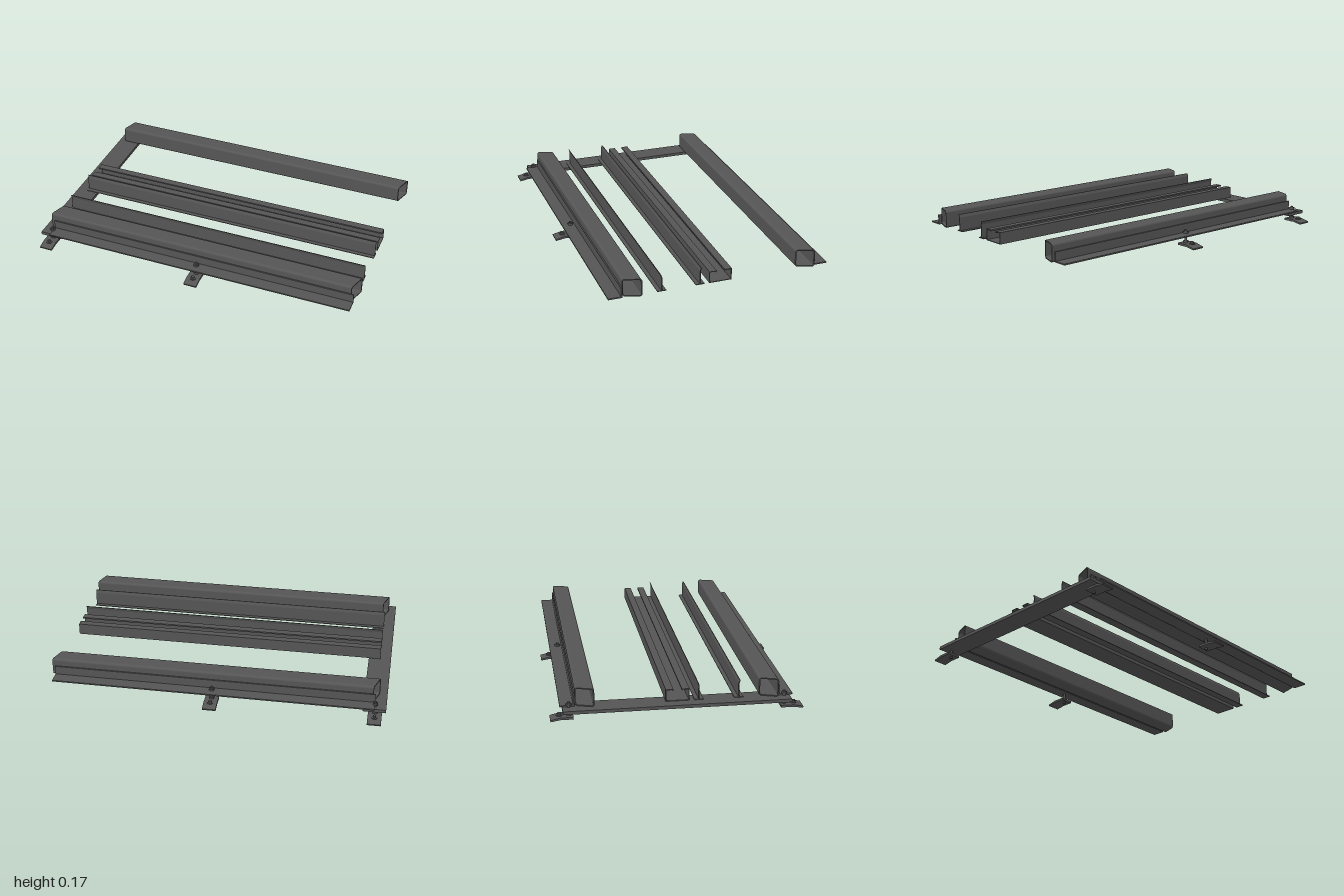
import * as THREE from 'three';

const steel = new THREE.MeshStandardMaterial({ color: 0x555555 });
const X0 = -0.935, X1 = 0.975;

// closed shape from [z, y] points (z is flipped so the extrusion runs along +x)
const outline = (pts) => new THREE.Shape(pts.map(([z, y]) => new THREE.Vector2(-z, y)));

function extrudeX(shape, x0, x1) {
  const geo = new THREE.ExtrudeGeometry(shape, { depth: x1 - x0, bevelEnabled: false, curveSegments: 5 });
  geo.rotateY(Math.PI / 2);
  geo.translate(x0, 0, 0);
  return geo;
}

function add(parent, name, geo, x = 0, y = 0, z = 0) {
  const mesh = new THREE.Mesh(geo, steel);
  mesh.name = name;
  mesh.position.set(x, y, z);
  parent.add(mesh);
  return mesh;
}

function roundedRect(target, w, h, r) {
  const a = w / 2, b = h / 2;
  target.moveTo(-a + r, -b);
  target.lineTo(a - r, -b);
  target.absarc(a - r, -b + r, r, -Math.PI / 2, 0);
  target.absarc(a - r, b - r, r, 0, Math.PI / 2);
  target.absarc(-a + r, b - r, r, Math.PI / 2, Math.PI);
  target.absarc(-a + r, -b + r, r, Math.PI, Math.PI * 1.5);
  return target;
}

// square hollow tube with both ends cut at a slant
function tubeGeometry() {
  const shape = roundedRect(new THREE.Shape(), 0.106, 0.106, 0.014);
  shape.holes.push(roundedRect(new THREE.Path(), 0.094, 0.094, 0.008));
  const geo = extrudeX(shape, -0.938, 0.975);
  const p = geo.attributes.position;
  for (let i = 0; i < p.count; i++) p.setX(i, p.getX(i) - p.getZ(i) * 0.33);
  geo.computeVertexNormals();
  return geo;
}

// adjustable foot: bent plate, levelling bolt with nuts, and a fixing screw
function makeFoot(x, side) {
  const foot = new THREE.Group();
  foot.name = 'levellingFoot';
  const s = side;
  const plate = [[0.582, 0.011], [0.655, 0.011], [0.709, 0.002], [0.711, 0.011], [0.655, 0.024], [0.582, 0.024]]
    .map(([z, y]) => [z * s, y]);
  add(foot, 'footPlate', extrudeX(outline(plate), x - 0.04, x + 0.04));
  const z = 0.606 * s;
  add(foot, 'levellingBolt', new THREE.CylinderGeometry(0.008, 0.008, 0.1, 16), x, 0.05, z);
  add(foot, 'lowerNut', new THREE.CylinderGeometry(0.016, 0.016, 0.011, 6), x, 0.029, z);
  add(foot, 'upperNut', new THREE.CylinderGeometry(0.016, 0.016, 0.012, 6), x, 0.086, z);
  add(foot, 'fixingWasher', new THREE.CylinderGeometry(0.018, 0.018, 0.004, 16), x, 0.026, 0.66 * s);
  add(foot, 'fixingScrew', new THREE.CylinderGeometry(0.01, 0.01, 0.012, 6), x, 0.033, 0.66 * s);
  return foot;
}

export function createModel() {
  const model = new THREE.Group();
  model.name = 'railFrame';

  // flat bar tying the rails together at one end
  add(model, 'crossBar', new THREE.BoxGeometry(0.135, 0.019, 1.28), -0.9325, 0.0595, -0.002);

  const tube = tubeGeometry();
  const angle = (s) => outline([[0.573, 0.07], [0.656, 0.07], [0.656, 0.078], [0.581, 0.078],
    [0.581, 0.13], [0.573, 0.13]].map(([z, y]) => [z * s, y]));

  for (const s of [1, -1]) {
    // slanted ends follow the same direction on both sides
    add(model, 'squareTube', tube, 0, 0.122, 0.518 * s);
    add(model, 'sideAngle', extrudeX(angle(s), X0, X1));
    for (const x of [-0.937, 0.019]) model.add(makeFoot(x, s));
  }

  // lipped channel along the middle, open at the top
  const t = 0.004, w = 0.067, top = 0.139, lip = 0.024;
  const channel = outline([
    [-w, 0.069], [w, 0.069], [w, top], [lip, top], [lip, top - 0.009], [lip + t, top - 0.009],
    [lip + t, top - t], [w - t, top - t], [w - t, 0.069 + t], [-w + t, 0.069 + t],
    [-w + t, top - t], [-lip - t, top - t], [-lip - t, top - 0.009], [-lip, top - 0.009],
    [-lip, top], [-w, top]]);
  add(model, 'middleChannel', extrudeX(channel, X0, X1));

  // pair of thin guide rails with tips flared away from each other
  for (const [z, s] of [[0.347, 1], [0.121, -1]]) {
    const guide = outline([
      [-0.026, 0.069], [0.026, 0.069], [0.026, 0.073], [0.0025, 0.073], [0.0025, 0.153],
      [0.008, 0.172], [0.004, 0.172], [-0.0025, 0.153], [-0.0025, 0.073], [-0.026, 0.073],
    ].map(([a, y]) => [z + a * s, y]));
    add(model, 'guideRail', extrudeX(guide, X0, X1));
  }
  return model;
}
